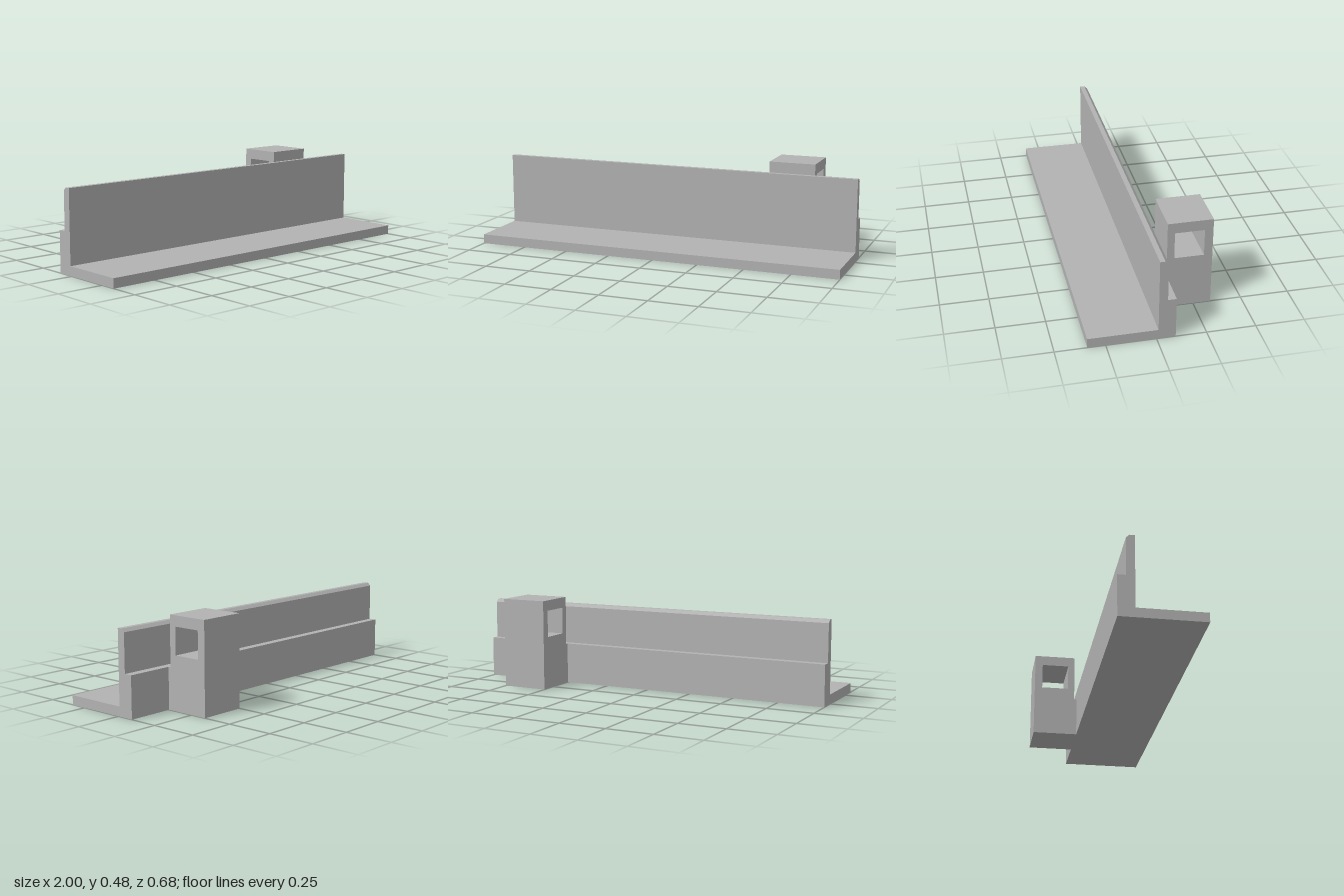
import * as THREE from 'three';

const grey = new THREE.MeshStandardMaterial({ color: 0xb2b2b2 });
grey.name = 'plain grey';

// Extrudes a side profile of [z, y] points from x0 to x1, with an optional opening.
function profilePart(name, points, x0, x1, opening) {
  const toVectors = (list) => list.map(([z, y]) => new THREE.Vector2(z, y));
  const shape = new THREE.Shape(toVectors(points));
  if (opening) shape.holes.push(new THREE.Path(toVectors(opening)));
  const geometry = new THREE.ExtrudeGeometry(shape, { depth: x1 - x0, bevelEnabled: false });
  geometry.rotateY(-Math.PI / 2);
  geometry.translate(x1, 0, 0);
  const mesh = new THREE.Mesh(geometry, grey);
  mesh.name = name;
  return mesh;
}

export function createModel() {
  const model = new THREE.Group();
  model.name = 'railWithLug';

  // Long rail: front flange, thick heel and thin upright with a chamfered back edge
  model.add(profilePart('rail', [
    [0.34, 0], [0.34, 0.05], [-0.009, 0.05], [-0.009, 0.437], [-0.035, 0.437],
    [-0.052, 0.421], [-0.052, 0.218], [-0.095, 0.218], [-0.095, 0],
  ], -1, 1));

  // Lug behind the rail, with a small step at the heel and a window through it
  model.add(profilePart('lug', [
    [-0.095, 0], [-0.095, 0.218], [-0.109, 0.218], [-0.109, 0.481], [-0.34, 0.481], [-0.34, 0],
  ], 0.5, 0.75, [
    [-0.146, 0.282], [-0.297, 0.282], [-0.297, 0.425], [-0.146, 0.425],
  ]));

  return model;
}
